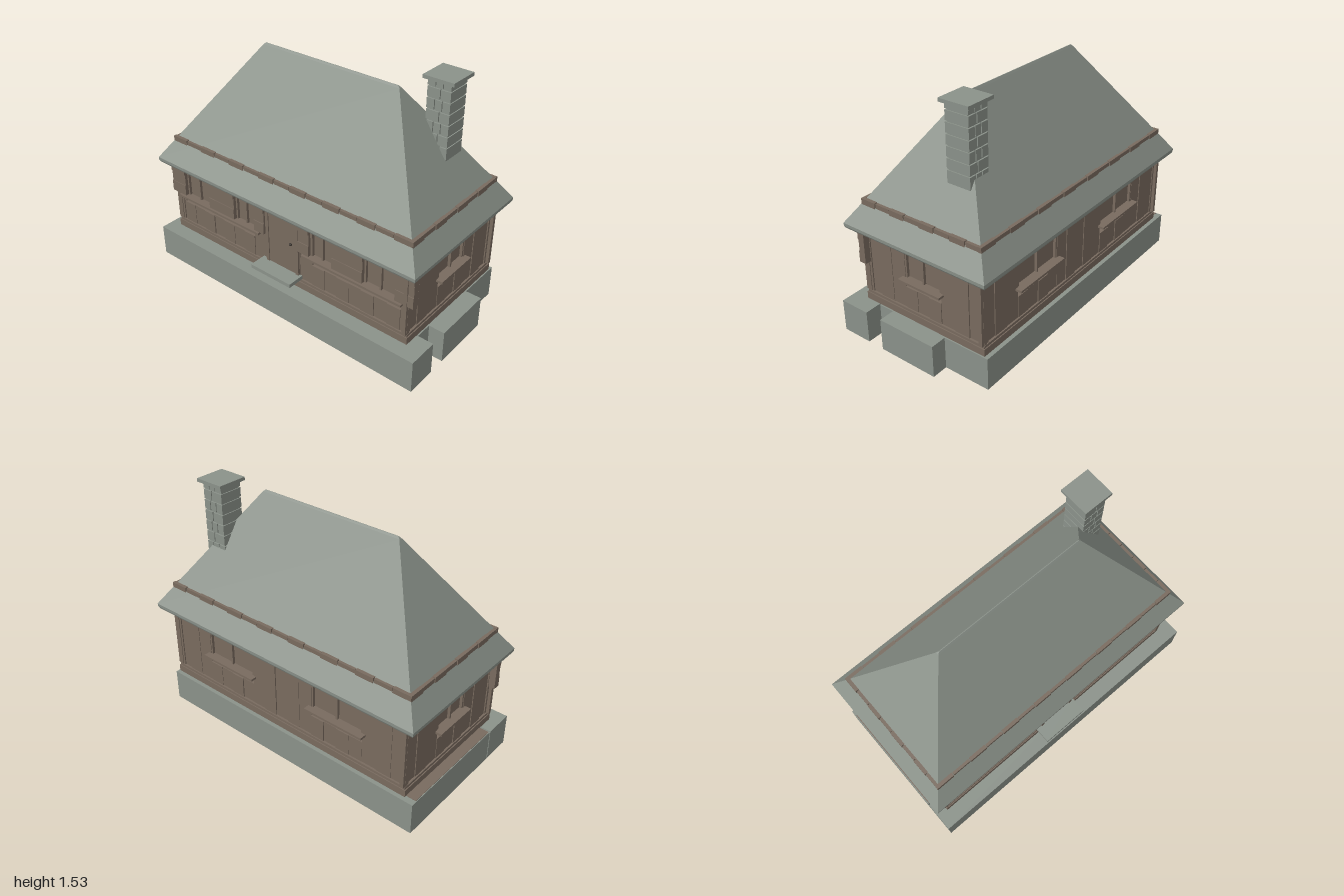
import * as THREE from 'three';

const mat = (name, color) => Object.assign(new THREE.MeshStandardMaterial({ color }), { name });
const stone = mat('grey stone', 0x8b928a);
const wood = mat('brown wood', 0x796b5f);
const metal = mat('dark metal', 0x3c3630);

const CX = -0.02, CZ = -0.016;   // centre of the house body
const HX = 0.9, HZ = 0.426;      // half sizes of the house body
const TOP = 0.7;

// box given by its limits
function box(parent, name, m, x0, x1, y0, y1, z0, z1) {
  const mesh = new THREE.Mesh(new THREE.BoxGeometry(x1 - x0, y1 - y0, z1 - z0), m);
  mesh.position.set((x0 + x1) / 2, (y0 + y1) / 2, (z0 + z1) / 2);
  mesh.name = name;
  parent.add(mesh);
  return mesh;
}

// window with recessed panes, bars and a projecting ledge; d is the outer wall depth
function addWindow(wall, u0, u1, d, ledge = true) {
  const g = new THREE.Group();
  g.name = 'window';
  const mid = (u0 + u1) / 2, t = 0.012;
  box(g, 'windowPane', wood, u0, u1, 0.462, TOP, d - 0.04, d - 0.025);
  for (const u of [u0 + t / 2, mid, u1 - t / 2])
    box(g, 'windowBar', wood, u - t / 2, u + t / 2, 0.465, TOP, d - 0.03, d - 0.008);
  box(g, 'windowRail', wood, u0, u1, 0.628, 0.64, d - 0.03, d - 0.01);
  if (ledge) box(g, 'windowLedge', wood, u0 - 0.02, u1 + 0.02, 0.453, 0.467, d - 0.04, d + 0.035);
  wall.add(g);
}

// shutter of three horizontal planks
function addShutter(wall, u0, u1, d) {
  const ys = [0.468, 0.54, 0.615, TOP];
  for (let i = 0; i < 3; i++)
    box(wall, 'shutterPlank', wood, u0, u1, ys[i], ys[i + 1], d - 0.03, d + (i % 2 ? 0.011 : 0.016));
}

// plank wall facing local +z; planks below openings are cut short
function addWall(house, name, angle, half, d, openings) {
  const wall = new THREE.Group();
  wall.name = name;
  wall.position.set(CX, 0, CZ);
  wall.rotation.y = angle;
  const cuts = [-half, ...openings.flat(), half];
  for (let s = 0; s < cuts.length - 1; s++) {
    const n = Math.max(1, Math.round((cuts[s + 1] - cuts[s]) / 0.092));
    const w = (cuts[s + 1] - cuts[s]) / n;
    for (let i = 0; i < n; i++) {
      const u = cuts[s] + i * w;
      const proud = [0, 0.005, 0.002, 0.007][(i + s) % 4];
      box(wall, 'wallPlank', wood, u, u + w, 0.25, s % 2 ? 0.405 : TOP, d - 0.035, d - 0.007 + proud);
    }
  }
  // sill beams and corner posts
  box(wall, 'sillBeam', wood, -half - 0.012, half + 0.012, 0.205, 0.25, d - 0.04, d + 0.012);
  box(wall, 'sillBoard', wood, -half - 0.005, half + 0.005, 0.25, 0.266, d - 0.04, d + 0.006);
  for (const s of [-1, 1])
    box(wall, 'cornerPost', wood, s * half - 0.02, s * half + 0.004, 0.266, TOP, d - 0.02, d + 0.003);
  house.add(wall);
  return wall;
}

function addWalls(house) {
  // front: long openings with two windows each and shutters around them
  const front = addWall(house, 'frontWall', 0, HX, HZ, [[-0.85, -0.23], [0.23, 0.85]]);
  for (const s of [-1, 1]) {
    const span = (f, a, b, ...rest) => f(front, Math.min(s * a, s * b), Math.max(s * a, s * b), HZ, ...rest);
    span(addShutter, 0.82, 0.94);
    span(addShutter, 0.385, 0.6);
    span(addShutter, 0.135, 0.215);
    span(addWindow, 0.6, 0.82, false);
    span(addWindow, 0.215, 0.385, false);
    const [a, b] = s > 0 ? [0.17, 0.87] : [-0.87, -0.17];
    box(front, 'windowLedge', wood, a, b, 0.453, 0.467, HZ - 0.04, HZ + 0.03);
  }
  // door with frame, knob and step
  box(front, 'door', wood, -0.1, 0.11, 0.266, 0.652, HZ - 0.02, HZ + 0.006);
  for (const u of [-0.122, 0.11])
    box(front, 'doorFrame', wood, u, u + 0.022, 0.266, TOP, HZ - 0.02, HZ + 0.012);
  box(front, 'doorFrame', wood, -0.1, 0.11, 0.652, TOP, HZ - 0.02, HZ + 0.012);
  const knob = new THREE.Mesh(new THREE.SphereGeometry(0.009, 12, 8), metal);
  knob.name = 'doorKnob';
  knob.position.set(0.077, 0.49, HZ + 0.013);
  front.add(knob);
  box(front, 'doorStep', stone, -0.16, 0.15, 0.266, 0.29, HZ - 0.005, 0.535);

  // back: two windows
  const back = addWall(house, 'backWall', Math.PI, HX, HZ, [[-0.6, -0.23], [0.23, 0.6]]);
  addWindow(back, -0.6, -0.23, HZ);
  addWindow(back, 0.23, 0.6, HZ);

  // sides: one window each
  for (const [name, s] of [['leftWall', 1], ['rightWall', -1]]) {
    const side = addWall(house, name, s * Math.PI / 2, HZ, HX, [[-0.13, 0.13]]);
    addWindow(side, -0.13, 0.13, HX);
  }
}

// hipped roof from rectangular loops: [y, half x, half z]
function addRoof(house) {
  const levels = [[0.684, 0.958, 0.481], [0.688, 0.972, 0.495], [0.7, 0.979, 0.501], [0.72, 0.98, 0.502],
    [1.452, 0.494, 0.01], [1.463, 0.482, 0.002]];
  const pos = [], idx = [];
  for (const [y, x, z] of levels) pos.push(-x, y, z, x, y, z, x, y, -z, -x, y, -z);
  for (let l = 0; l < levels.length - 1; l++)
    for (let i = 0; i < 4; i++) {
      const a = l * 4 + i, b = l * 4 + (i + 1) % 4;
      idx.push(a, b, b + 4, a, b + 4, a + 4);
    }
  const t = (levels.length - 1) * 4;
  idx.push(0, 2, 1, 0, 3, 2, t, t + 1, t + 2, t, t + 2, t + 3);
  let geo = new THREE.BufferGeometry();
  geo.setAttribute('position', new THREE.Float32BufferAttribute(pos, 3));
  geo.setIndex(idx);
  geo = geo.toNonIndexed();
  geo.computeVertexNormals();
  const roof = new THREE.Mesh(geo, stone);
  roof.name = 'roof';
  roof.position.set(CX, 0, -0.017);
  house.add(roof);

  // band of short boards around the roof
  const band = new THREE.Group();
  band.name = 'roofBand';
  band.position.set(CX, 0, -0.017);
  const bx = 0.905, bz = 0.424;
  const run = (half, d, n, angle) => {
    const side = new THREE.Group();
    side.rotation.y = angle;
    const w = 2 * half / n;
    for (let i = 0; i < n; i++) {
      const drop = i % 2 ? 0.003 : 0;
      box(side, 'bandBoard', wood, -half + i * w + 0.002, -half + (i + 1) * w - 0.002,
        0.833 + drop, 0.868 - drop, d - 0.022, d - drop);
    }
    band.add(side);
  };
  for (const s of [0, 1]) {
    run(bx, bz, 15, s * Math.PI);
    run(bz, bx, 8, Math.PI / 2 + s * Math.PI);
  }
  house.add(band);
}

// chimney of staggered stone courses around a core
function addChimney(house) {
  const g = new THREE.Group();
  g.name = 'chimney';
  const x0 = 0.585, x1 = 0.738, z0 = -0.255, z1 = -0.1;
  box(g, 'chimneyCore', stone, x0 + 0.009, x1 - 0.009, 0.95, 1.516, z0 + 0.009, z1 - 0.009);
  box(g, 'chimneyCap', stone, 0.565, 0.76, 1.514, 1.535, -0.278, -0.082);
  const ys = [0.99, 1.058, 1.14, 1.207, 1.275, 1.341, 1.408, 1.473, 1.509];
  for (let r = 0; r < ys.length - 1; r++) {
    const splits = r % 2 ? [0, 0.35, 0.66, 1] : [0, 0.56, 1];
    for (let i = 0; i < splits.length - 1; i++)
      box(g, 'chimneyStone', stone,
        x0 + (x1 - x0) * splits[i] + 0.003, x0 + (x1 - x0) * splits[i + 1] - 0.003,
        ys[r] + 0.004, ys[r + 1] - 0.004, z0, z1);
  }
  house.add(g);
}

export function createModel() {
  const house = new THREE.Group();
  house.name = 'cottage';
  // stone foundation
  box(house, 'foundation', stone, -1, 0.9, 0, 0.205, -0.48, 0.315);
  box(house, 'frontFoundation', stone, -1, 1, 0, 0.205, 0.323, 0.518);
  box(house, 'sideFoundation', stone, 0.89, 1, 0, 0.205, -0.18, 0.213);
  box(house, 'groundBoard', wood, -0.995, -0.9, 0.204, 0.208, -0.44, 0.31);
  addWalls(house);
  addRoof(house);
  addChimney(house);
  return house;
}
